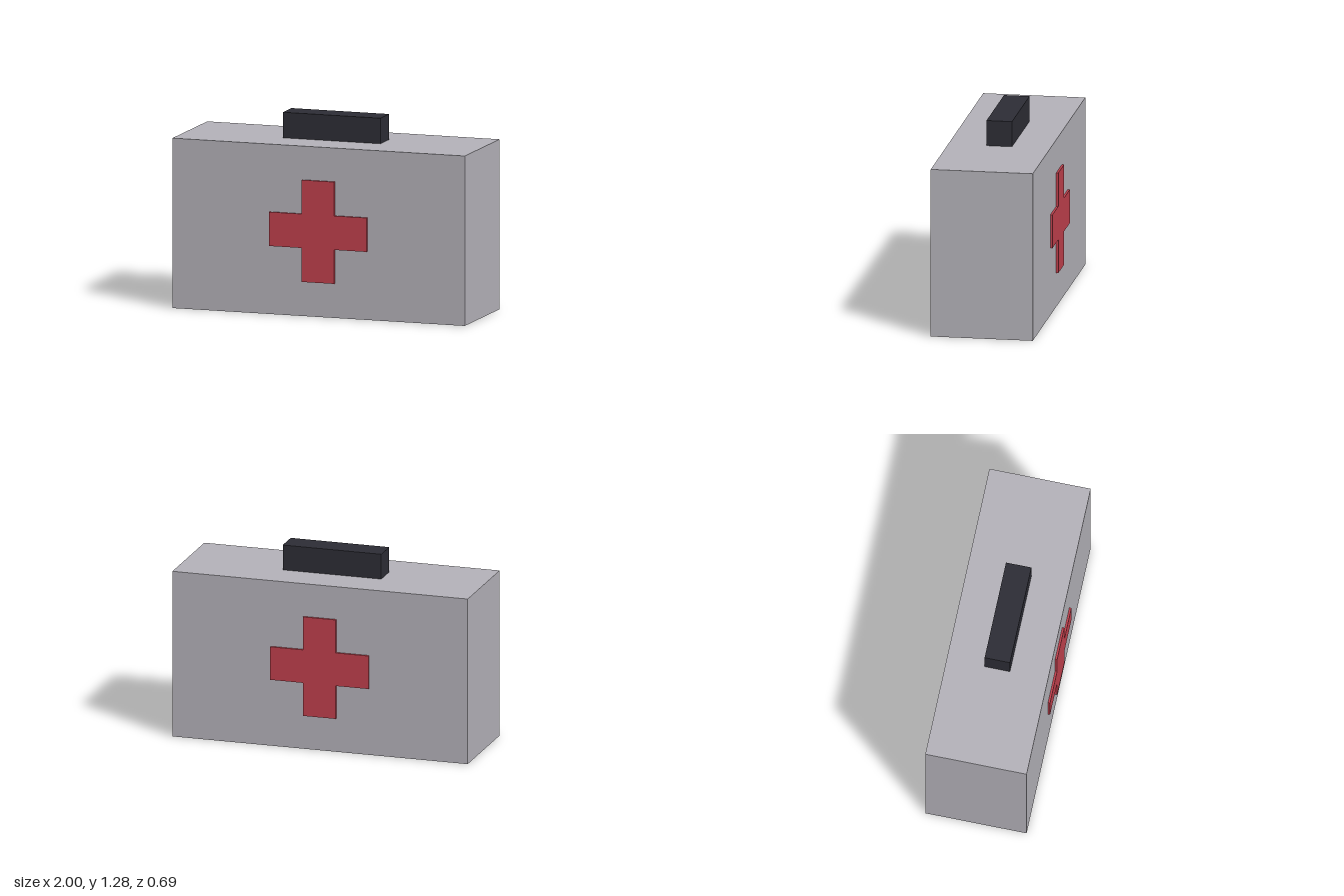
import * as THREE from 'three';

const material = (name, color) => {
  const m = new THREE.MeshStandardMaterial({ color });
  m.name = name;
  return m;
};

// Closed plus-shaped outline with arms of half length a and half width w
function crossShape(a, w) {
  return new THREE.Shape([
    [w, w], [w, a], [-w, a], [-w, w], [-a, w], [-a, -w],
    [-w, -w], [-w, -a], [w, -a], [w, -w], [a, -w], [a, w],
  ].map(([x, y]) => new THREE.Vector2(x, y)));
}

export function createModel() {
  const grey = material('case grey', 0xb4b2b9);
  const dark = material('handle charcoal', 0x2d2d35);
  const red = material('cross red', 0xc0404d);

  const width = 2, height = 1.111, depth = 0.667;
  const group = new THREE.Group();
  group.name = 'firstAidCase';

  const add = (name, geometry, mat, y) => {
    const mesh = new THREE.Mesh(geometry, mat);
    mesh.name = name;
    mesh.position.y = y;
    group.add(mesh);
    return mesh;
  };

  // Case body and the solid grip on its lid
  add('caseBody', new THREE.BoxGeometry(width, height, depth), grey, height / 2);
  add('handle', new THREE.BoxGeometry(0.667, 0.167, 0.167), dark, height + 0.0835);

  // Raised cross on the front and back faces
  const cross = new THREE.ExtrudeGeometry(crossShape(0.333, 0.111), { depth: 0.014, bevelEnabled: false });
  cross.translate(0, 0, depth / 2);
  add('frontCross', cross, red, 0.558);
  add('backCross', cross, red, 0.558).rotation.y = Math.PI;

  return group;
}
